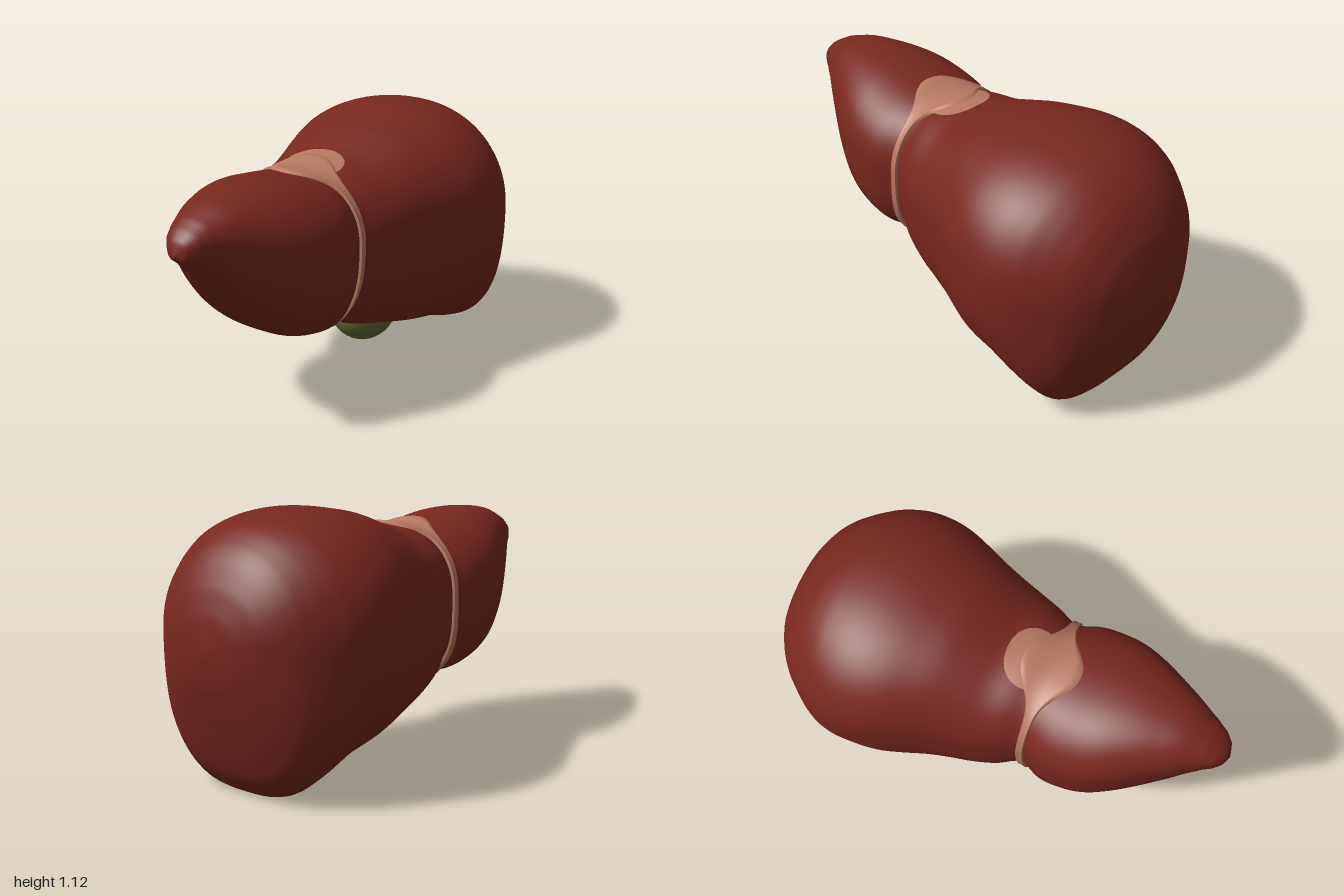
import * as THREE from 'three';

const mat = (name, color) => {
  const m = new THREE.MeshStandardMaterial({ color });
  m.name = name;
  return m;
};

// Stations along the body: x, top height, bottom height, half depth
const STATIONS = [
  [-1, 0.855, 0.845, 0], [-0.985, 0.905, 0.825, 0.045], [-0.95, 0.94, 0.8, 0.08], [-0.9, 0.972, 0.755, 0.11],
  [-0.8, 1.01, 0.63, 0.17], [-0.7, 1.025, 0.52, 0.23], [-0.6, 1.03, 0.43, 0.285], [-0.5, 1.025, 0.36, 0.325],
  [-0.4, 1.01, 0.325, 0.34], [-0.3, 0.995, 0.31, 0.335], [-0.2, 0.982, 0.325, 0.3], [-0.1, 0.998, 0.258, 0.342],
  [0, 1.01, 0.23, 0.375], [0.1, 1.045, 0.212, 0.4], [0.2, 1.08, 0.195, 0.43], [0.3, 1.1, 0.175, 0.47],
  [0.4, 1.115, 0.14, 0.505], [0.5, 1.12, 0.09, 0.522], [0.6, 1.112, 0.04, 0.52], [0.7, 1.09, 0.01, 0.49],
  [0.78, 1.053, 0.0, 0.445], [0.85, 1.0, 0.08, 0.39], [0.9, 0.94, 0.2, 0.33], [0.95, 0.85, 0.345, 0.245],
  [0.985, 0.74, 0.47, 0.14], [1, 0.61, 0.59, 0],
];
const spline = new THREE.CatmullRomCurve3(
  STATIONS.map(([, a, b, c]) => new THREE.Vector3(a, b, c)), false, 'catmullrom', 0.5);

const bump = (x, center, width) => Math.exp(-(((x - center) / width) ** 2));

function section(x) {
  const last = STATIONS.length - 1;
  let i = 0;
  while (i < last - 1 && STATIONS[i + 1][0] < x) i++;
  const f = (x - STATIONS[i][0]) / (STATIONS[i + 1][0] - STATIONS[i][0]);
  return spline.getPoint(THREE.MathUtils.clamp((i + f) / last, 0, 1));
}

// Point on the body surface at x and angle t around it, lifted outward
function bodyPoint(x, t, lift = 0) {
  const { x: top, y: bottom, z: half } = section(x);
  const c = Math.cos(t), s = Math.sin(t);
  const mid = bottom + 0.58 * (top - bottom);
  // Fuller underside, tapering where the large lobe is deepest
  const p = s < 0 ? 0.7 + 0.16 * bump(x, 0.57, 0.14) : 0.93;
  const z = Math.sign(c) * Math.abs(c) ** p * Math.max(half, 0);
  let y = mid + Math.sign(s) * Math.abs(s) ** p * (s > 0 ? top - mid : mid - bottom);
  if (s < 0) { // hollow with lowered rims under the large lobe
    const depth = 0.25 * bump(x, 0.2, 0.23);
    y += s * s * depth * (bump(z, 0, 0.18) - 0.3);
  }
  return new THREE.Vector3(x, y + s * lift, z + c * lift);
}

// Smooth surface from a rule fn(u, v); closed joins v = 1 to v = 0
function surface(fn, nu, nv, closed) {
  const cols = closed ? nv : nv + 1, pos = [], index = [];
  for (let i = 0; i <= nu; i++)
    for (let j = 0; j < cols; j++) pos.push(...fn(i / nu, j / nv).toArray());
  for (let i = 0; i < nu; i++)
    for (let j = 0; j < nv; j++) {
      const k = (j + 1) % cols;
      const a = i * cols + j, b = a + cols, c = i * cols + k, d = c + cols;
      index.push(a, b, c, b, d, c);
    }
  const g = new THREE.BufferGeometry();
  g.setAttribute('position', new THREE.Float32BufferAttribute(pos, 3));
  g.setIndex(index);
  g.computeVertexNormals();
  return g;
}

export function createModel() {
  const group = new THREE.Group();
  const red = mat('liverRed', 0x78281d);
  const pale = mat('ligamentTan', 0xb87a62);
  const green = mat('bileGreen', 0x626a32);
  const add = (name, geometry, material) => {
    const m = new THREE.Mesh(geometry, material);
    m.name = name;
    group.add(m);
    return m;
  };

  // Both lobes as one lofted body
  add('liverLobes', surface((u, v) => bodyPoint(-Math.cos(u * Math.PI), v * Math.PI * 2), 120, 160, true), red);

  // Ligament band around the groove, flared on top and finned below
  add('ligamentBand', surface((u, v) => {
    const t = v * Math.PI * 2, s = Math.sin(t), k = u * 2 - 1;
    const below = Math.max(0, -s);
    const flare = s > 0 ? 0.122 * bump(0.3 * Math.cos(t), 0, 0.12) : 0;
    const lift = Math.abs(k) > 0.99 ? -0.008 : 0.012 + 0.04 * below ** 6 * (1 - k * k);
    return bodyPoint(-0.2 - 0.028 * below + k * (0.017 + flare), t, lift);
  }, 12, 160, true), pale);

  // Round ligament patch on the crown
  add('ligamentPatch', surface((u, v) => {
    const a = v * Math.PI;
    const x = -0.145 + (u * 2 - 1) * 0.138 * Math.sin(a);
    return bodyPoint(x, Math.PI / 2 - 0.39 * Math.cos(a), 0.005);
  }, 16, 32, false), pale);

  // Gallbladder resting in the hollow
  const bladder = add('gallbladder', new THREE.SphereGeometry(1, 40, 28), green);
  bladder.scale.set(0.165, 0.155, 0.15);
  bladder.position.set(0.272, 0.187, 0);

  return group;
}
